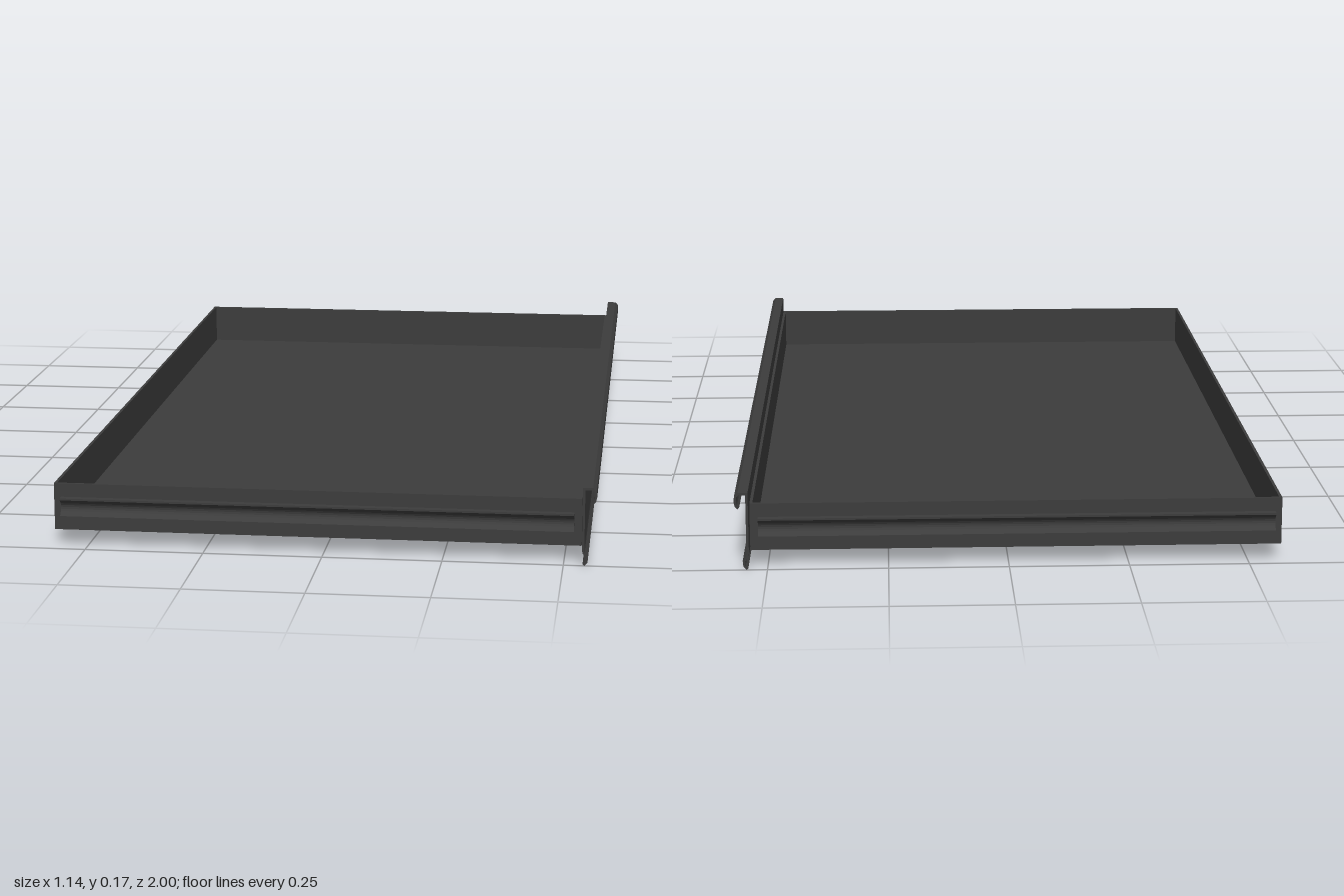
import * as THREE from 'three';

const material = new THREE.MeshStandardMaterial({ color: 0x3c3c3c });

function add(group, name, geometry, x = 0, y = 0, z = 0) {
  const mesh = new THREE.Mesh(geometry, material);
  mesh.name = name;
  mesh.position.set(x, y, z);
  group.add(mesh);
  return mesh;
}

// Thin sheet-metal strip: offsets an open profile to both sides and closes it
function stripShape(points, thickness) {
  const left = [], right = [];
  points.forEach((p, i) => {
    const before = points[Math.max(i - 1, 0)];
    const after = points[Math.min(i + 1, points.length - 1)];
    const d1 = p.clone().sub(before).normalize();
    const d2 = after.clone().sub(p).normalize();
    const t = d1.clone().add(d2).normalize();
    const n = new THREE.Vector2(-t.y, t.x);
    const ref = i === 0 ? d2 : d1;
    const miter = thickness / 2 / Math.max(0.5, t.dot(ref));
    left.push(p.clone().addScaledVector(n, miter));
    right.unshift(p.clone().addScaledVector(n, -miter));
  });
  return new THREE.Shape([...left, ...right]);
}

export function createModel() {
  const model = new THREE.Group();
  model.name = 'drawer';

  // Tray: floor and four thin walls
  const x0 = -0.57, x1 = 0.536, y0 = 0.034, y1 = 0.134, zEnd = 0.97, wall = 0.006;
  const midX = (x0 + x1) / 2, midY = (y0 + y1) / 2, height = y1 - y0;
  add(model, 'trayFloor', new THREE.BoxGeometry(x1 - x0, wall, zEnd * 2), midX, y0 + wall / 2, 0);
  for (const [name, x] of [['rearWall', x0 + wall / 2], ['facingWall', x1 - wall / 2]]) {
    add(model, name, new THREE.BoxGeometry(wall, height, zEnd * 2), x, midY, 0);
  }

  // Side walls with slide rails, mirrored front and back
  for (const side of [1, -1]) {
    const sideGroup = new THREE.Group();
    sideGroup.name = side > 0 ? 'frontSide' : 'backSide';
    add(sideGroup, 'sideWall', new THREE.BoxGeometry(x1 - x0, height, wall), midX, midY, zEnd - wall / 2);

    // Rail section with a concave runner groove, extruded along x
    const rail = new THREE.Shape();
    rail.moveTo(0, -0.021);
    rail.lineTo(0.015, -0.021);
    rail.lineTo(0.015, -0.017);
    rail.quadraticCurveTo(-0.009, 0, 0.015, 0.017);
    rail.lineTo(0.015, 0.021);
    rail.lineTo(0, 0.021);
    const geometry = new THREE.ExtrudeGeometry(rail, { depth: 1.075, bevelEnabled: false, curveSegments: 8 });
    geometry.rotateY(-Math.PI / 2);
    add(sideGroup, 'slideRail', geometry, 0.52, 0.084, zEnd);
    if (side < 0) sideGroup.rotation.y = Math.PI;
    // A half turn also flips x, so shift back and reverse the parts along x
    if (side < 0) {
      sideGroup.position.x = midX * 2;
      sideGroup.getObjectByName('slideRail').position.x = 2 * midX + 0.556;
    }
    model.add(sideGroup);
  }

  // Facing panel: curled grip at the top and small bulged lip at the bottom
  const profile = [
    [0.541, 0.002], [0.547, 0.008], [0.548, 0.019], [0.541, 0.028], [0.54, 0.036],
    [0.54, 0.163], [0.557, 0.163], [0.563, 0.157], [0.564, 0.146], [0.562, 0.137], [0.557, 0.132],
  ].map(([x, y]) => new THREE.Vector2(x, y));
  const panel = new THREE.ExtrudeGeometry(stripShape(profile, 0.005), { depth: 2, bevelEnabled: false });
  add(model, 'facingPanel', panel, 0, 0, -1);

  return model;
}
